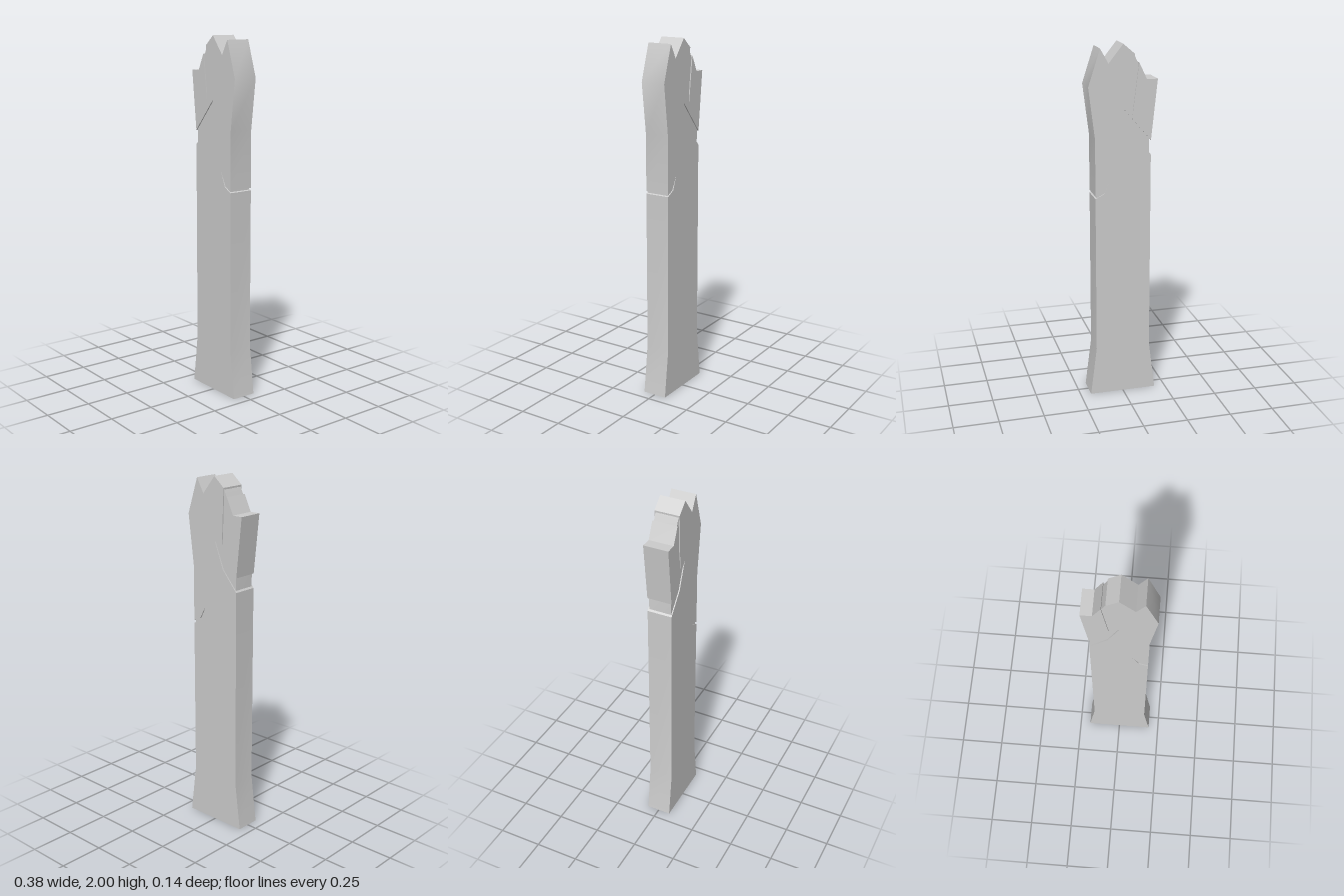
import * as THREE from 'three';
import { toCreasedNormals } from 'three/addons/utils/BufferGeometryUtils.js';

const HALF = 0.07;    // half thickness of the plank
const GROOVE = 0.006; // depth of the cracks

const material = new THREE.MeshStandardMaterial({ color: 0xcccccc, side: THREE.DoubleSide });

// Extrudes an outline evenly about z = 0, leaving the lowest edge open
function openSlab(name, outline, half) {
  const shape = new THREE.Shape(outline.map(([x, y]) => new THREE.Vector2(x, y)));
  const solid = new THREE.ExtrudeGeometry(shape, { depth: half * 2, bevelEnabled: false });
  solid.translate(0, 0, -half);
  const source = solid.getAttribute('position');
  const floor = Math.min(...outline.map((p) => p[1])) + 1e-4;
  const kept = [];
  for (let i = 0; i < source.count; i += 3) {
    const corners = [i, i + 1, i + 2];
    if (corners.every((c) => source.getY(c) < floor)) continue;
    for (const c of corners) kept.push(source.getX(c), source.getY(c), source.getZ(c));
  }
  const geometry = new THREE.BufferGeometry();
  geometry.setAttribute('position', new THREE.Float32BufferAttribute(kept, 3));
  const mesh = new THREE.Mesh(toCreasedNormals(geometry, 0.5), material);
  mesh.name = name;
  return mesh;
}

export function createModel() {
  const group = new THREE.Group();
  group.name = 'brokenPlank';

  // Weathered board: flared foot, splintered top, cracks cut into the outline
  group.add(openSlab('plank', [
    [-0.19, 0], [0.19, 0], [0.155, 0.28],
    // short crack on the left edge
    [0.155, 1.17], [0.103, 1.197], [0.07, 1.28], [0.108, 1.208], [0.155, 1.184],
    [0.155, 1.5], [0.19, 1.78],
    // splintered top
    [0.125, 1.98], [0.08, 1.9], [0, 2], [-0.064, 1.945],
    // long vertical split
    [-0.052, 1.62], [-0.087, 1.9],
    [-0.13, 1.81], [-0.19, 1.81], [-0.155, 1.48],
    // wedge-shaped notch on the right edge
    [0, 1.66], [-0.06, 1.51], [-0.155, 1.4], [-0.155, 0.28],
  ], HALF));

  // Slightly smaller core that forms the floor of every crack
  group.add(openSlab('core', [
    [-0.147, 1.1], [0.147, 1.1], [0.147, 1.5], [0.1, 1.8], [0, 1.97],
    [-0.064, 1.935], [-0.087, 1.885], [-0.12, 1.8], [-0.147, 1.5],
  ], HALF - GROOVE));

  return group;
}
